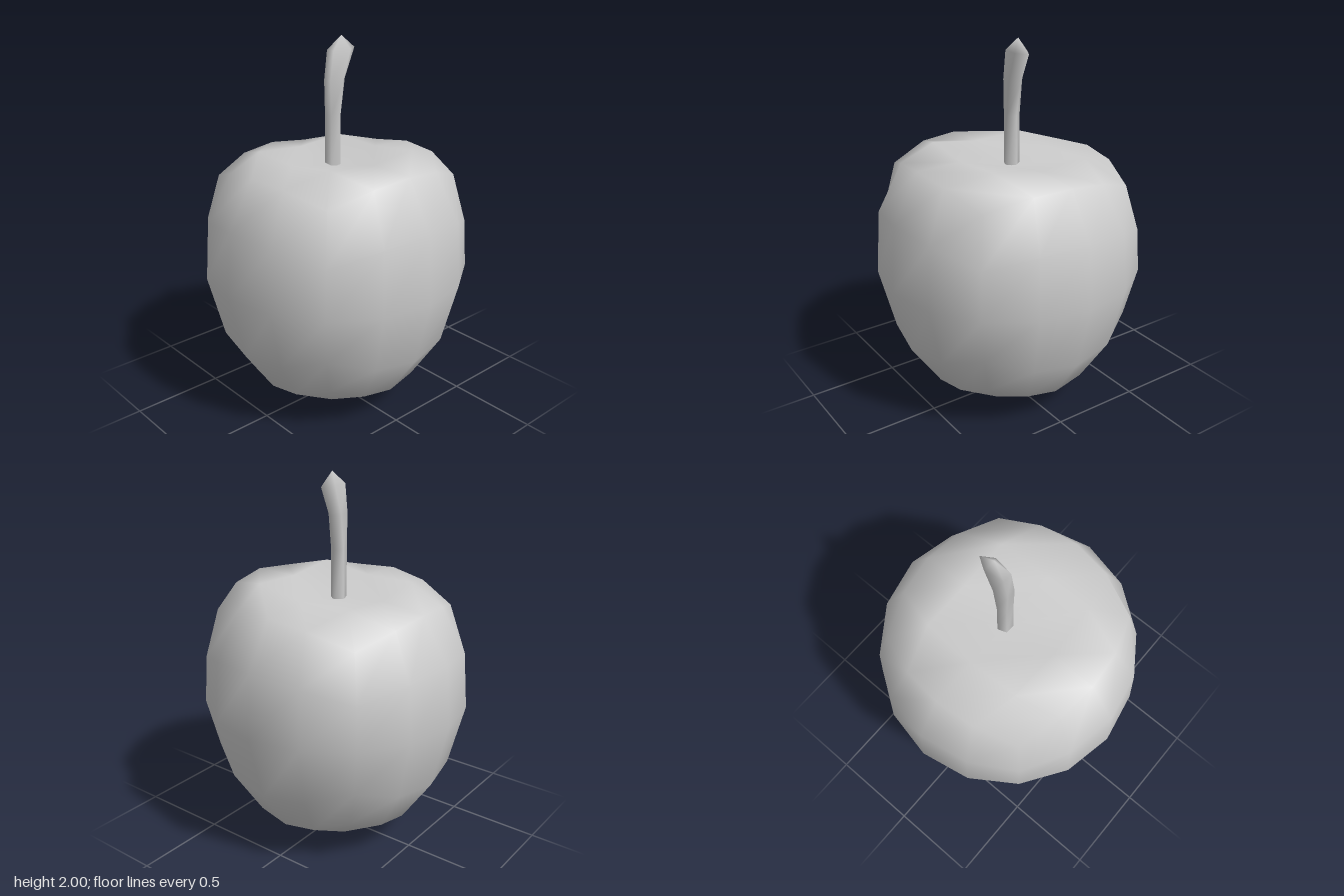
import * as THREE from 'three';
import { mergeVertices } from 'three/addons/utils/BufferGeometryUtils.js';

const material = new THREE.MeshStandardMaterial({ color: 0xcccccc });

// Fruit profile: [polar angle from the top, radius, height]
const PROFILE = [
  [0, 0, 1.33], [22.5, 0.29, 1.385], [30.4, 0.4, 1.41], [45, 0.54, 1.37],
  [54.7, 0.62, 1.28], [67.5, 0.685, 1.125], [90, 0.71, 0.78], [112.5, 0.62, 0.42],
  [125.3, 0.53, 0.28], [135, 0.45, 0.17], [157.5, 0.24, 0.05], [180, 0, 0],
];

function profileAt(angle) {
  let i = 1;
  while (i < PROFILE.length - 1 && angle > PROFILE[i][0]) i++;
  const [a0, r0, y0] = PROFILE[i - 1];
  const [a1, r1, y1] = PROFILE[i];
  const t = (angle - a0) / (a1 - a0);
  return [THREE.MathUtils.lerp(r0, r1, t), THREE.MathUtils.lerp(y0, y1, t)];
}

// Fruit body: a 4x4 quad sphere pulled onto the profile, with a dimpled, slightly tilted crown
function createFruit() {
  let geometry = new THREE.BoxGeometry(2, 2, 2, 4, 4, 4);
  geometry.deleteAttribute('uv');
  geometry.deleteAttribute('normal');
  geometry = mergeVertices(geometry);
  const pos = geometry.attributes.position;
  const d = new THREE.Vector3();
  for (let i = 0; i < pos.count; i++) {
    d.fromBufferAttribute(pos, i);
    for (const k of ['x', 'y', 'z']) d[k] = Math.tan(d[k] * Math.PI / 4);
    d.normalize();
    const polar = Math.acos(THREE.MathUtils.clamp(d.y, -1, 1));
    const around = Math.atan2(d.z, d.x);
    const [r, y] = profileAt(THREE.MathUtils.radToDeg(polar));
    const x = r * Math.cos(around);
    const z = r * Math.sin(around);
    const tilt = Math.max(0, (y - 0.78) / 0.6);
    pos.setXYZ(i, x, y + tilt * (0.055 * z - 0.015 * x), z);
  }
  geometry.computeVertexNormals();
  const mesh = new THREE.Mesh(geometry, material);
  mesh.name = 'fruit';
  return mesh;
}

// Stem: five-sided rings that lean and widen toward a pointed tip
function createStem() {
  const SIDES = 5;
  // [height, centre x, half width in x, half depth in z]
  const rings = [
    [1.3, 0.006, 0.044, 0.042], [1.6, 0.006, 0.044, 0.042],
    [1.78, 0.019, 0.066, 0.042], [1.93, 0.059, 0.091, 0.042],
  ];
  const positions = [];
  const index = [];
  for (const [y, cx, a, b] of rings) {
    for (let s = 0; s < SIDES; s++) {
      const t = s / SIDES * Math.PI * 2;
      positions.push(cx + a * Math.cos(t), y, b * Math.sin(t) - 0.02);
    }
  }
  const tip = rings.length * SIDES;
  positions.push(0.06, 2, -0.02);
  for (let s = 0; s < SIDES; s++) {
    const n = (s + 1) % SIDES;
    for (let r = 0; r < rings.length - 1; r++) {
      const lo = r * SIDES;
      const hi = lo + SIDES;
      index.push(lo + s, hi + s, lo + n, lo + n, hi + s, hi + n);
    }
    index.push(tip - SIDES + s, tip, tip - SIDES + n);
  }
  const geometry = new THREE.BufferGeometry();
  geometry.setAttribute('position', new THREE.Float32BufferAttribute(positions, 3));
  geometry.setIndex(index);
  geometry.computeVertexNormals();
  const mesh = new THREE.Mesh(geometry, material);
  mesh.name = 'stem';
  return mesh;
}

export function createModel() {
  const group = new THREE.Group();
  group.name = 'apple';
  group.add(createFruit(), createStem());
  return group;
}
